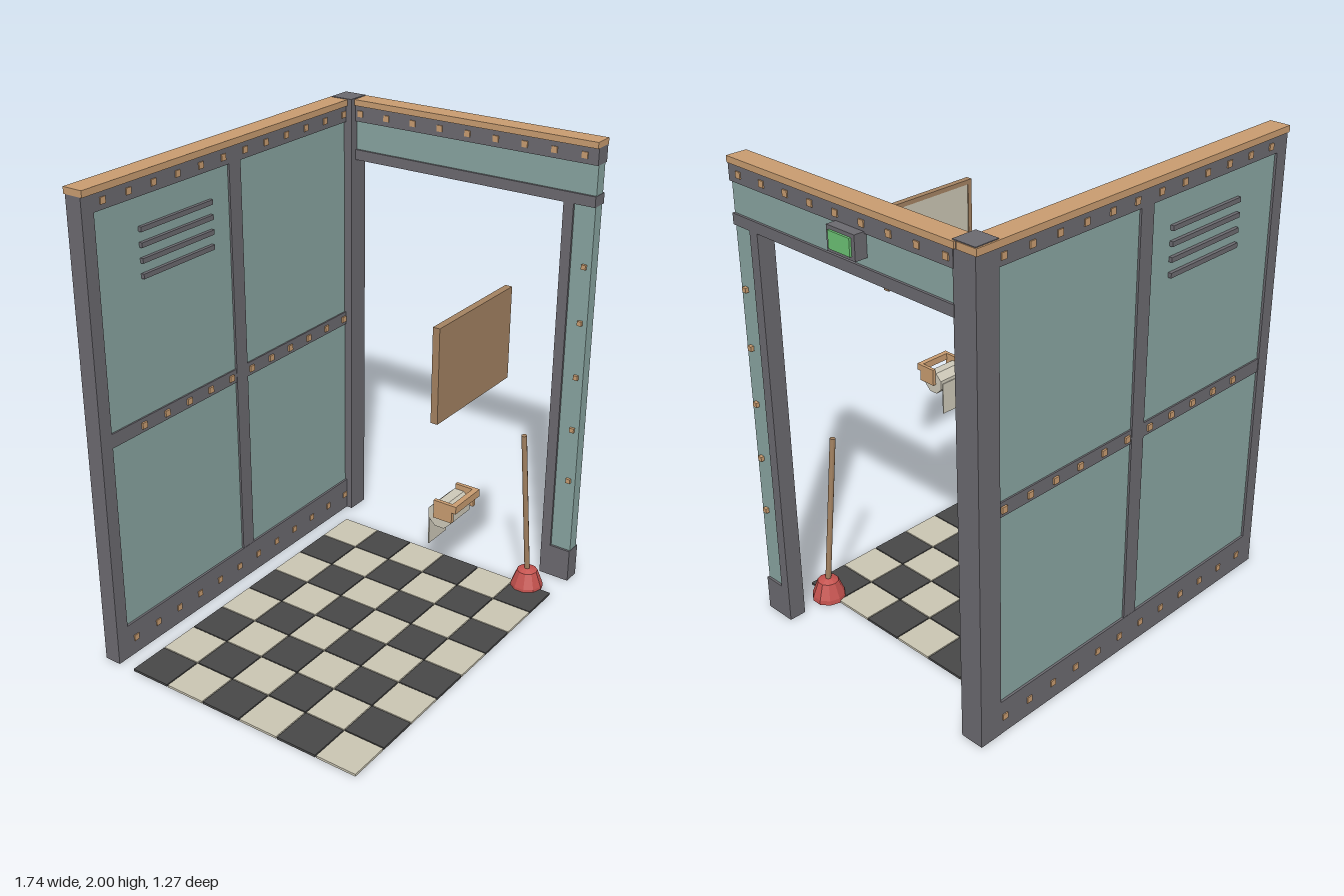
import * as THREE from 'three';

const mat = (name, color, extra = {}) => {
  const m = new THREE.MeshStandardMaterial({ color, ...extra });
  m.name = name;
  return m;
};

export function createModel() {
  const model = new THREE.Group();
  model.name = 'washroomStall';
  const steel = mat('steelGrey', 0x6b696f);
  const teal = mat('tealPanel', 0x88a4a0);
  const tan = mat('tanTrim', 0xc89c70);
  const brown = mat('brownWood', 0xa38261);
  const cream = mat('cream', 0xcac5b2);
  const dark = mat('darkTile', 0x474747);
  const red = mat('redRubber', 0xc4524e, { flatShading: true });
  const paper = mat('paper', 0xcdc8b8, { flatShading: true });
  const green = mat('signGreen', 0x6cc274);

  const group = (name) => {
    const g = new THREE.Group();
    g.name = name;
    model.add(g);
    return g;
  };
  // Box given by its low and high bounds on each axis
  const box = (parent, name, m, x0, x1, y0, y1, z0, z1) => {
    const mesh = new THREE.Mesh(new THREE.BoxGeometry(x1 - x0, y1 - y0, z1 - z0), m);
    mesh.position.set((x0 + x1) / 2, (y0 + y1) / 2, (z0 + z1) / 2);
    mesh.name = name;
    parent.add(mesh);
    return mesh;
  };
  // Square stud that pokes out of both faces of a wall
  const R = 0.013;

  // Back wall: panel, frame, studs, vents
  const back = group('backWall');
  const f0 = -0.627, f1 = -0.553;
  box(back, 'backPanel', teal, -0.83, 0.74, 0.1, 1.93, -0.617, -0.563);
  box(back, 'bottomRail', steel, -0.81, 0.71, 0, 0.15, f0, f1);
  box(back, 'middleRail', steel, -0.81, 0.71, 0.96, 1.02, f0 + 0.003, f1 - 0.003);
  box(back, 'topRail', steel, -0.81, 0.71, 1.9, 1.97, f0, f1);
  box(back, 'endPost', steel, -0.87, -0.81, 0, 1.97, f0, f1);
  box(back, 'middlePost', steel, -0.07, 0, 0.15, 1.9, f0 + 0.001, f1 - 0.001);
  box(back, 'backCap', tan, -0.87, 0.815, 1.97, 1.997, -0.635, -0.545);
  for (const [y, first] of [[0.075, 0], [0.99, 1], [1.935, 0]])
    for (let i = first; i < 12; i++) {
      const x = -0.765 + i * 0.132;
      box(back, 'stud', tan, x - R, x + R, y - R, y + R, f0 - 0.005, f1 + 0.005);
    }
  for (let i = 0; i < 4; i++) {
    const y = 1.775 - i * 0.0615;
    box(back, 'ventSlat', steel, -0.585, -0.18, y - 0.01, y + 0.01, -0.632, -0.548);
  }
  box(model, 'cornerPost', steel, 0.708, 0.812, 0, 2, -0.628, -0.525);

  // Side wall with doorway
  const side = group('sideWall');
  const s0 = 0.74, s1 = 0.815;
  box(side, 'headerPanel', teal, 0.75, 0.805, 1.77, 1.91, -0.53, 0.63);
  box(side, 'sideTopRail', steel, s0, s1, 1.9, 1.97, -0.53, 0.632);
  box(side, 'lintel', steel, s0, s1, 1.73, 1.775, -0.53, 0.632);
  box(side, 'doorPostPanel', teal, 0.75, 0.805, 0.14, 1.74, 0.52, 0.63);
  box(side, 'doorJamb', steel, s0, s1, 0.15, 1.73, 0.492, 0.537);
  box(side, 'doorPostBase', steel, s0, s1, 0, 0.15, 0.492, 0.632);
  box(side, 'sideCap', tan, 0.73, 0.82, 1.97, 1.996, -0.54, 0.632);
  for (let i = 0; i < 9; i++) {
    const z = 0.573 - i * 0.134;
    box(side, 'stud', tan, s0 - 0.005, s1 + 0.005, 1.935 - R, 1.935 + R, z - R, z + R);
  }
  for (let i = 0; i < 5; i++) {
    const y = 1.475 - i * 0.245, r = 0.01;
    box(side, 'postStud', tan, s0 - 0.003, s1 + 0.005, y - r, y + r, 0.6 - r, 0.6 + r);
  }

  // Lit sign above the doorway
  const sign = group('doorSign');
  box(sign, 'signHousing', steel, 0.8, 0.858, 1.81, 1.907, -0.107, 0.037);
  box(sign, 'signFace', green, 0.858, 0.867, 1.825, 1.893, -0.09, 0.02);

  // Checkered floor
  const floor = group('floor');
  const pitch = 0.1838;
  for (let i = 0; i < 8; i++)
    for (let j = 0; j < 6; j++) {
      const x = -0.871 + i * pitch, z = -0.474 + j * pitch;
      box(floor, 'tile', (i + j) % 2 ? cream : dark, x, x + 0.179, 0, 0.01, z, z + 0.179);
    }

  // Framed picture facing the back wall
  const pic = group('picture');
  box(pic, 'pictureBacking', brown, -0.385, 0.105, 1.235, 1.6, 0.61, 0.63);
  box(pic, 'frameTop', brown, -0.385, 0.105, 1.58, 1.6, 0.602, 0.61);
  box(pic, 'frameBottom', brown, -0.385, 0.105, 1.235, 1.255, 0.602, 0.61);
  box(pic, 'frameRight', brown, -0.385, -0.365, 1.255, 1.58, 0.602, 0.61);
  box(pic, 'frameLeft', brown, 0.085, 0.105, 1.255, 1.58, 0.602, 0.61);
  box(pic, 'paintedWall', cream, -0.365, 0.085, 1.35, 1.58, 0.606, 0.611);
  box(pic, 'paintedFloor', teal, -0.365, 0.085, 1.255, 1.35, 0.606, 0.611);
  box(pic, 'paintedBody', tan, -0.19, -0.01, 1.345, 1.415, 0.6, 0.607);
  box(pic, 'paintedNeck', tan, -0.09, -0.045, 1.415, 1.475, 0.6, 0.607);
  box(pic, 'paintedKnob', tan, -0.05, -0.015, 1.395, 1.43, 0.594, 0.602);
  box(pic, 'paintedFoot', tan, -0.08, -0.035, 1.3, 1.345, 0.6, 0.607);

  // Paper roll on its holder
  const holder = group('paperHolder');
  box(holder, 'holderBar', tan, -0.235, -0.065, 0.8, 0.83, 0.605, 0.628);
  for (const x of [-0.235, -0.08])
    box(holder, 'holderArm', tan, x, x + 0.015, 0.755, 0.83, 0.53, 0.61);
  const roll = new THREE.Mesh(new THREE.CylinderGeometry(0.053, 0.053, 0.138, 8), paper);
  roll.name = 'paperRoll';
  roll.rotation.set(Math.PI / 8, 0, Math.PI / 2, 'XYZ');
  roll.position.set(-0.15, 0.76, 0.548);
  holder.add(roll);
  box(holder, 'paperSheet', paper, -0.212, -0.09, 0.62, 0.765, 0.495, 0.5);

  // Plunger leaning in the doorway corner
  const plunger = group('plunger');
  const profile = [[0, 0], [0.072, 0], [0.07, 0.02], [0.045, 0.085], [0.018, 0.095], [0, 0.095]]
    .map(([x, y]) => new THREE.Vector2(x, y));
  const cup = new THREE.Mesh(new THREE.LatheGeometry(profile, 10), red);
  cup.name = 'plungerCup';
  cup.position.set(0.597, 0.002, 0.505);
  plunger.add(cup);
  const a = new THREE.Vector3(0.597, 0.08, 0.505), b = new THREE.Vector3(0.54, 0.765, 0.483);
  const dir = b.clone().sub(a);
  const stick = new THREE.Mesh(new THREE.CylinderGeometry(0.012, 0.012, dir.length(), 8), brown);
  stick.name = 'plungerHandle';
  stick.position.copy(a).add(b).multiplyScalar(0.5);
  stick.quaternion.setFromUnitVectors(new THREE.Vector3(0, 1, 0), dir.normalize());
  plunger.add(stick);

  return model;
}
